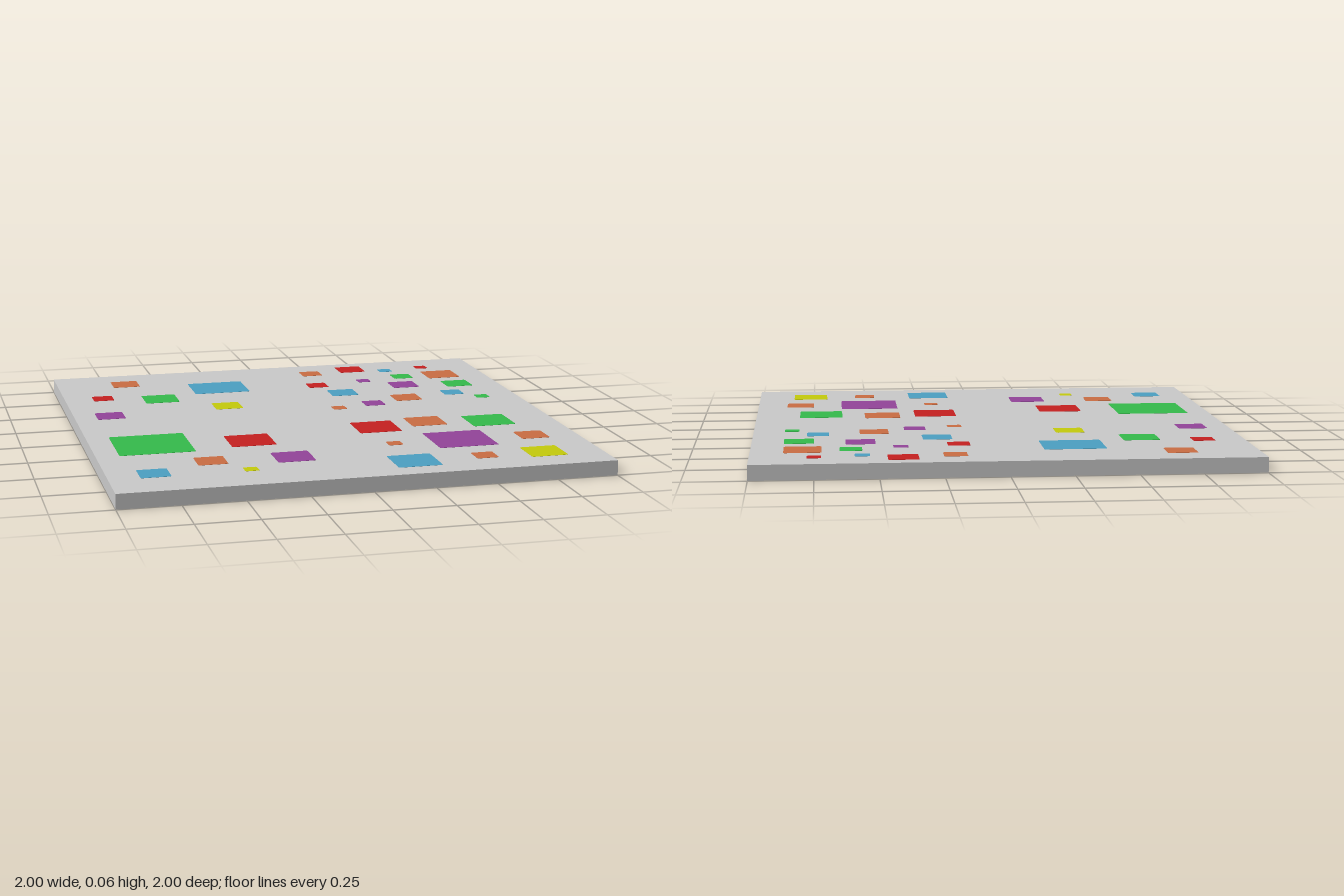
import * as THREE from 'three';

const HEIGHT = 0.0625;
const LIP = 0.0008; // tiles stand this little proud of the slab, above and below

const mat = (name, color) => {
  const m = new THREE.MeshStandardMaterial({ color });
  m.name = name;
  return m;
};

// Square inlays by colour: [centre x, centre z, width, optional depth]
const INLAYS = {
  red: [0xc62020, [
    [-0.83, -0.553, 0.09], [0.405, -0.876, 0.12], [0.75, -0.845, 0.056], [0.17, -0.583, 0.09],
    [-0.347, 0.34, 0.185], [0.217, 0.246, 0.18, 0.185],
  ]],
  orange: [0xca6d43, [
    [-0.69, -0.816, 0.12], [0.2, -0.83, 0.093], [0.794, -0.674, 0.15], [0.5, -0.25, 0.12],
    [0.156, -0.128, 0.06], [0.45, 0.2, 0.153], [0.217, 0.53, 0.06], [0.81, 0.53, 0.12],
    [-0.566, 0.62, 0.12], [0.514, 0.797, 0.09],
  ]],
  yellow: [0xc5cb0c, [
    [-0.315, -0.284, 0.12], [-0.437, 0.78, 0.056], [0.765, 0.795, 0.152],
  ]],
  green: [0x35bb4b, [
    [-0.58, -0.485, 0.15], [0.604, -0.674, 0.09], [0.81, -0.47, 0.12], [0.84, -0.193, 0.06],
    [-0.75, 0.308, 0.31], [0.718, 0.246, 0.185],
  ]],
  blue: [0x4ca0c2, [
    [-0.283, -0.645, 0.25, 0.213], [0.562, -0.815, 0.06], [0.247, -0.41, 0.12],
    [0.733, -0.3, 0.09], [-0.815, 0.75, 0.12], [0.217, 0.81, 0.18],
  ]],
  purple: [0x934499, [
    [-0.845, -0.22, 0.12], [0.404, -0.626, 0.06], [0.562, -0.503, 0.12], [0.327, -0.177, 0.09],
    [0.5, 0.526, 0.25], [-0.235, 0.636, 0.153],
  ]],
};

// Block with slightly rounded upright edges, running through the whole slab
function inlayGeometry(w, d) {
  const r = 0.008, x = w / 2, y = d / 2;
  const s = new THREE.Shape();
  s.absarc(x - r, y - r, r, 0, Math.PI / 2);
  s.absarc(-x + r, y - r, r, Math.PI / 2, Math.PI);
  s.absarc(-x + r, -y + r, r, Math.PI, Math.PI * 1.5);
  s.absarc(x - r, -y + r, r, Math.PI * 1.5, Math.PI * 2);
  const g = new THREE.ExtrudeGeometry(s, { depth: HEIGHT, bevelEnabled: false, curveSegments: 3 });
  return g.rotateX(-Math.PI / 2);
}

export function createModel() {
  const model = new THREE.Group();
  model.name = 'inlaidPanel';

  // Flat square slab
  const slab = new THREE.Mesh(
    new THREE.BoxGeometry(2, HEIGHT - 2 * LIP, 2),
    mat('lightGrey', 0xcacaca),
  );
  slab.name = 'slab';
  slab.position.y = HEIGHT / 2;
  model.add(slab);

  // Coloured inlays, visible on both faces
  for (const [name, [color, tiles]] of Object.entries(INLAYS)) {
    const material = mat(name, color);
    const group = new THREE.Group();
    group.name = `${name}Inlays`;
    for (const [x, z, w, d = w] of tiles) {
      const tile = new THREE.Mesh(inlayGeometry(w, d), material);
      tile.name = `${name}Inlay`;
      tile.position.set(x, 0, z);
      group.add(tile);
    }
    model.add(group);
  }
  return model;
}
